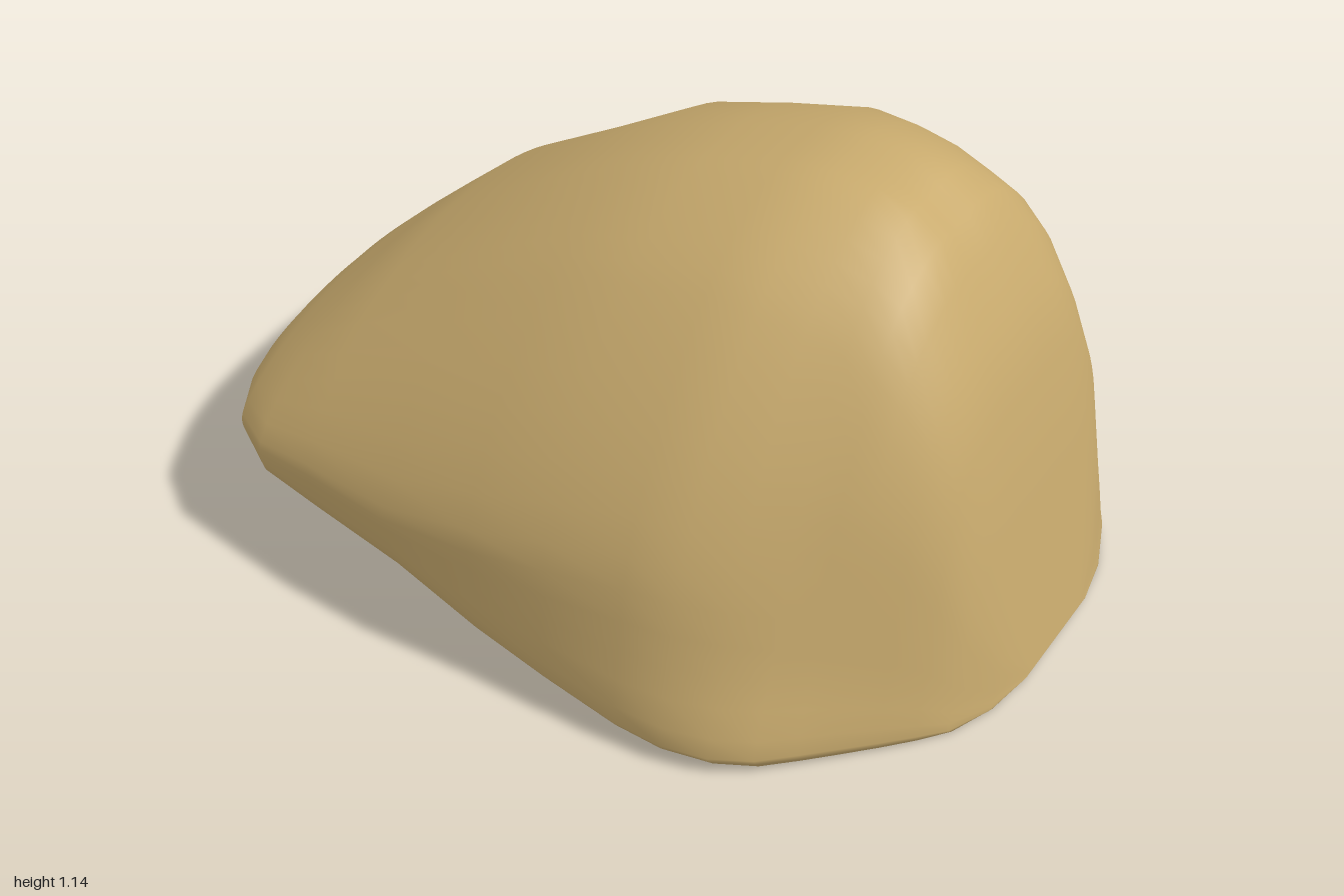
import * as THREE from 'three';

// Stations along x: x, underside height, crest height, half width
const stations = [
  [-1, 0.294, 0.296, 0.22], [-0.985, 0.27, 0.34, 0.34], [-0.95, 0.255, 0.385, 0.45],
  [-0.88, 0.24, 0.45, 0.58], [-0.76, 0.22, 0.56, 0.665], [-0.6, 0.19, 0.705, 0.697],
  [-0.35, 0.148, 0.86, 0.745], [-0.1, 0.105, 1.012, 0.788], [0.1, 0.07, 1.075, 0.8],
  [0.3, 0.035, 1.135, 0.808], [0.42, 0.022, 1.143, 0.81], [0.53, 0.018, 1.138, 0.79],
  [0.62, 0.015, 1.11, 0.742], [0.69, 0.013, 1.06, 0.675], [0.75, 0.012, 0.985, 0.615],
  [0.82, 0.01, 0.85, 0.542], [0.88, 0.008, 0.7, 0.475], [0.93, 0.005, 0.42, 0.408],
  [0.975, 0.003, 0.16, 0.29], [1, 0.012, 0.014, 0.16],
];

// Half cross-sections at key x: fraction of half width, fraction of height
const profiles = [
  // low tip
  { x: -0.8, points: [[0.96, 0], [0.98, 0.04], [0.995, 0.15], [0.99, 0.3], [0.81, 0.62], [0.56, 0.85], [0.36, 0.95], [0.15, 1]] },
  // undercut flank
  { x: -0.3, points: [[0.92, 0], [0.945, 0.03], [0.98, 0.15], [1, 0.3], [0.82, 0.6], [0.54, 0.85], [0.35, 0.945], [0.15, 1]] },
  // widest part
  { x: 0.25, points: [[0.97, 0], [1, 0.025], [0.98, 0.2], [0.93, 0.42], [0.76, 0.66], [0.52, 0.87], [0.34, 0.955], [0.15, 1]] },
  // tapered shoulder
  { x: 0.6, points: [[0.97, 0], [1, 0.03], [0.91, 0.2], [0.82, 0.4], [0.7, 0.6], [0.5, 0.82], [0.34, 0.93], [0.15, 1]] },
  // broad steep end
  { x: 0.88, points: [[0.97, 0], [1, 0.03], [0.95, 0.2], [0.89, 0.42], [0.81, 0.66], [0.68, 0.85], [0.5, 0.96], [0.25, 1]] },
];

// Cross-section at x, blended from its two neighbouring profiles
function profileAt(x) {
  const next = profiles.findIndex((p) => p.x >= x);
  const i = next < 0 ? profiles.length - 1 : Math.max(next, 1);
  const a = profiles[i - 1], b = profiles[i];
  const k = THREE.MathUtils.clamp((x - a.x) / (b.x - a.x), 0, 1);
  return a.points.map((p, j) => p.map((value, c) => THREE.MathUtils.lerp(value, b.points[j][c], k)));
}

// Skin joining equal-length rows of points
function loft(rows) {
  const n = rows[0].length;
  const index = [];
  for (let i = 0; i < rows.length - 1; i++) {
    for (let j = 0; j < n - 1; j++) {
      const a = i * n + j, b = a + n;
      index.push(a, b, a + 1, b, b + 1, a + 1);
    }
  }
  const geometry = new THREE.BufferGeometry().setFromPoints(rows.flat());
  geometry.setIndex(index);
  geometry.computeVertexNormals();
  return geometry;
}

export function createModel() {
  const group = new THREE.Group();
  group.name = 'boulder';
  const sandstone = new THREE.MeshStandardMaterial({ color: 0xc9ab6e, side: THREE.DoubleSide });
  sandstone.name = 'sandstone';

  // Rounded upper body, front rim over the crest to the back rim
  const bodyRows = stations.map(([x, low, high, half]) => {
    const profile = profileAt(x);
    const flank = (side) => profile.map(([f, v]) => new THREE.Vector3(x, low + (high - low) * v, side * half * f));
    const section = [...flank(1), new THREE.Vector3(x, high, 0), ...flank(-1).reverse()];
    return new THREE.CatmullRomCurve3(section).getPoints(48);
  });
  const body = new THREE.Mesh(loft(bodyRows), sandstone);
  body.name = 'rockBody';

  // Underside, left open beyond a straight diagonal edge at the front tip corner
  const baseRows = stations.map(([x, low, , half]) => {
    const rim = half * profileAt(x)[0][0];
    const edge = THREE.MathUtils.clamp(0.81 + (x - 0.38) * 0.754, -rim, rim);
    return [new THREE.Vector3(x, low, -rim), new THREE.Vector3(x, low, edge)];
  });
  const base = new THREE.Mesh(loft(baseRows), sandstone);
  base.name = 'rockUnderside';

  group.add(body, base);
  return group;
}
